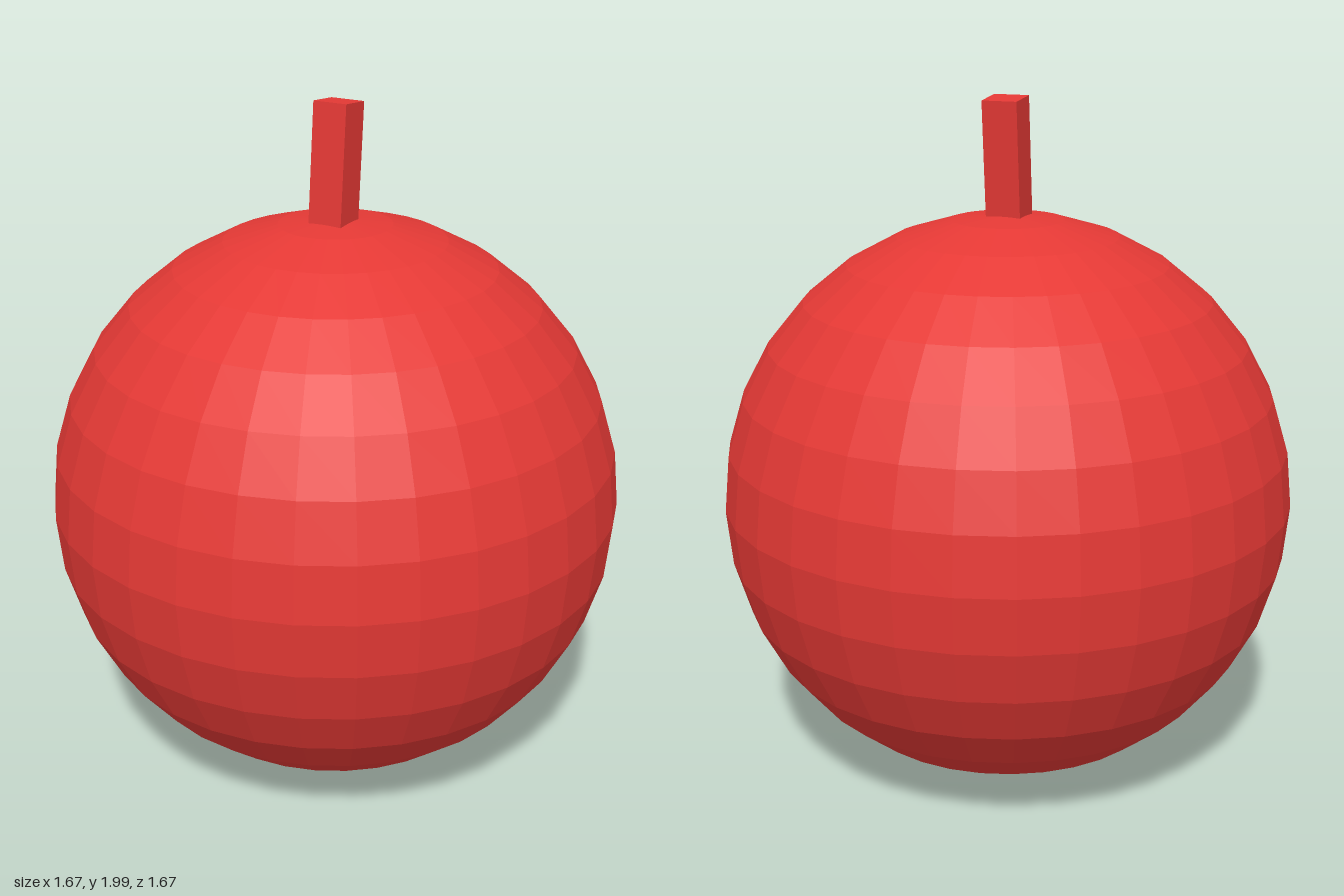
import * as THREE from 'three';

export function createModel() {
  const group = new THREE.Group();
  group.name = 'fruit';
  const red = new THREE.MeshStandardMaterial({ color: 0xe53935, flatShading: true });

  const addPart = (name, geometry, y) => {
    const mesh = new THREE.Mesh(geometry, red);
    mesh.name = name;
    mesh.position.y = y;
    group.add(mesh);
    return mesh;
  };

  // Round faceted body
  addPart('body', new THREE.SphereGeometry(0.833, 32, 16), 0.837);

  // Square stem, sunk into the top and leaning slightly back
  const stem = addPart('stem', new THREE.BoxGeometry(0.103, 0.41, 0.1), 1.79);
  stem.rotation.x = -0.09;

  return group;
}
